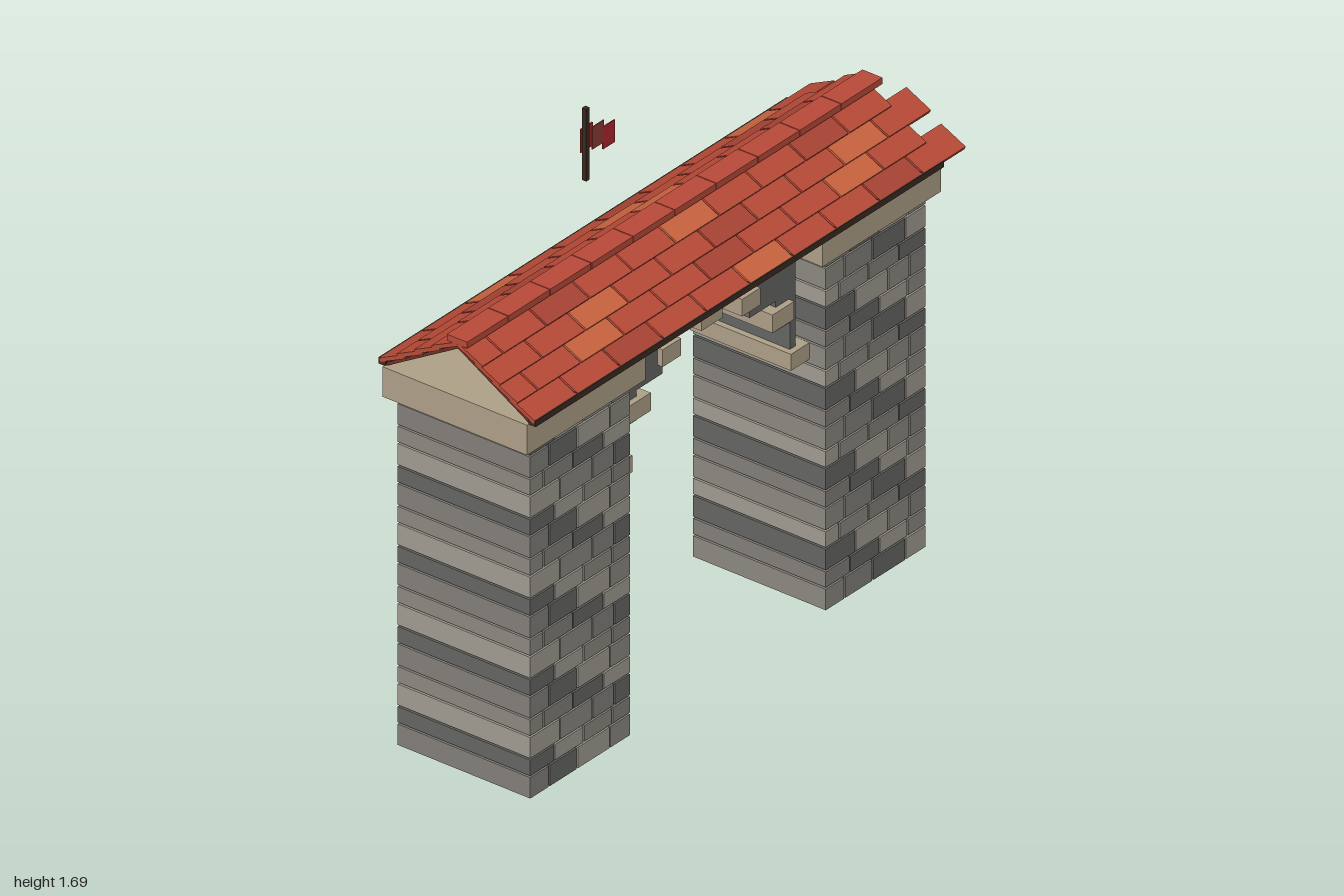
import * as THREE from 'three';

const ZC = 0.015; // depth centre of the gate
const mats = {};
const mat = (c) => (mats[c] ??= new THREE.MeshStandardMaterial({ color: c, flatShading: true }));

// Box given by its minimum and maximum corners
function box(parent, name, color, x0, x1, y0, y1, z0, z1) {
  const m = new THREE.Mesh(new THREE.BoxGeometry(x1 - x0, y1 - y0, z1 - z0), mat(color));
  m.position.set((x0 + x1) / 2, (y0 + y1) / 2, (z0 + z1) / 2);
  m.name = name;
  parent.add(m);
  return m;
}

function group(parent, name) {
  const g = new THREE.Group();
  g.name = name;
  parent.add(g);
  return g;
}

const STONE = [0xa09b91, 0x8c8881, 0x827f7a, 0x656562];
const TILE = [0xb84a38, 0xa23d2f, 0xc9623f, 0xb84a38, 0xd27a52, 0xa84334];
const SAND = 0xaea088, TIMBER = 0x3b2a20, DECK = 0x6a3026;
const JOINTS = [[0.09, 0.22, 0.37], [0.115, 0.25, 0.38], [0.14, 0.29, 0.39], [0.065, 0.2, 0.34]];

// Pillar of coursed stones running the full depth, with a capstone
function pillar(parent, name, x, shift) {
  const g = group(parent, name);
  let y = 0;
  for (let row = 0; y < 1.16; row++) {
    const h = row % 2 ? 0.058 : 0.0755;
    const edges = [0, ...JOINTS[row % 4], 0.465];
    for (let i = 0; i < 4; i++) {
      box(g, 'stone', STONE[(row + i + shift) % 4], x + edges[i], x + edges[i + 1] - 0.006,
        y, Math.min(y + h - 0.006, 1.17), -0.227, 0.26);
    }
    y += h;
  }
  box(g, 'capstone', SAND, x - 0.04, x + 0.505, 1.17, 1.27, -0.25, 0.28);
}

// Stepped corbels and arch stones, mirrored about x = -0.05
function arch(parent) {
  const g = group(parent, 'arch');
  const steps = [[-0.46, -0.25, 1.06, 1.168], [-0.46, -0.37, 0.96, 1.06], [-0.46, -0.435, 0.84, 0.96]];
  const stones = [[-0.275, -0.19, 1.1, 1.157], [-0.43, -0.33, 0.98, 1.04], [-0.5, -0.415, 0.815, 0.87]];
  for (const side of [-1, 1]) {
    const put = (name, color, [a, b, y0, y1], z0, z1) => {
      const [x0, x1] = side < 0 ? [a, b] : [-0.1 - b, -0.1 - a];
      box(g, name, color, x0, x1, y0, y1, z0, z1);
    };
    steps.forEach((s) => put('corbel', 0x656562, s, -0.15, 0.18));
    stones.forEach((s) => put('archStone', SAND, s, -0.17, 0.2));
  }
  box(g, 'keystone', SAND, -0.097, 0, 1.138, 1.195, -0.17, 0.2);
}

// One roof slope: deck and four staggered, overlapping rows of tiles
function slope(parent, s) {
  const g = group(parent, s > 0 ? 'frontRoofSlope' : 'backRoofSlope');
  g.position.set(0, 1.435, ZC);
  g.rotation.x = s * 0.53;
  const zs = (a, b) => (s > 0 ? [a, b] : [-b, -a]);
  box(g, 'roofDeck', DECK, -0.985, 0.9, -0.012, -0.002, ...zs(0, 0.312));
  for (let row = 0; row < 4; row++) {
    const d = 0.05 + row * 0.074;
    const long = row % 2 === 1;
    for (let i = 0; i < 10; i++) {
      const x0 = long ? -0.99 + i * 0.199 : Math.max(-0.99, -1.09 + i * 0.199);
      const x1 = (long ? -0.99 : -1.09) + (i + 1) * 0.199 - 0.007;
      const c = TILE[(i * 5 + row * 2 + ((i * i + row) % 3) + (s > 0 ? 0 : 3)) % 6];
      const t = box(g, 'roofTile', c, x0, x1, 0, 0.013, ...zs(d - 0.05, d + 0.05));
      t.rotation.x = -s * 0.08;
    }
  }
}

function roof(parent) {
  const g = group(parent, 'roof');
  slope(g, 1);
  slope(g, -1);
  for (let i = 0; i < 10; i++) {
    box(g, 'ridgeTile', TILE[(i * 2 + (i % 3)) % 6], -0.99 + i * 0.1915, -0.99 + (i + 1) * 0.1915 - 0.003,
      1.437, 1.458, ZC - 0.037, ZC + 0.037);
  }
  // Eave rails and the joists spanning the opening
  for (const s of [-1, 1]) {
    const e = ZC + s * 0.276, j = ZC + s * 0.089;
    box(g, 'eaveRail', TIMBER, -0.99, 0.89, 1.268, 1.288, e - 0.013, e + 0.013);
    box(g, 'joist', TIMBER, -0.53, 0.43, 1.24, 1.29, j - 0.021, j + 0.021);
  }
}

// Lantern on the back of a pillar
function lantern(parent, x) {
  const g = group(parent, 'lantern');
  box(g, 'lanternGlow', 0xd9a850, x - 0.045, x + 0.045, 0.69, 0.806, -0.28, -0.247);
  box(g, 'lanternTop', TIMBER, x - 0.057, x + 0.057, 0.806, 0.826, -0.29, -0.262);
  box(g, 'lanternBase', TIMBER, x - 0.057, x + 0.057, 0.672, 0.69, -0.29, -0.262);
}

// Pole and a flag in three stepped panels
function flag(parent) {
  const g = group(parent, 'flag');
  box(g, 'flagPole', TIMBER, -0.057, -0.041, 1.45, 1.69, -0.271, -0.255);
  const panels = [[-0.02, 0.035, 1.51, 1.588, 0xb0262c], [0.032, 0.086, 1.498, 1.572, 0x8f3a34],
    [0.08, 0.135, 1.477, 1.551, 0xb0262c]];
  panels.forEach(([x0, x1, y0, y1, c], i) =>
    box(g, 'flagPanel', c, x0, x1, y0, y1, -0.308 + i * 0.001, -0.304 + i * 0.001));
}

export function createModel() {
  const model = new THREE.Group();
  model.name = 'gate';
  pillar(model, 'rightPillar', -0.96, 2);
  pillar(model, 'leftPillar', 0.4, 1);
  arch(model);
  roof(model);
  lantern(model, -0.73);
  lantern(model, 0.63);
  flag(model);
  return model;
}
